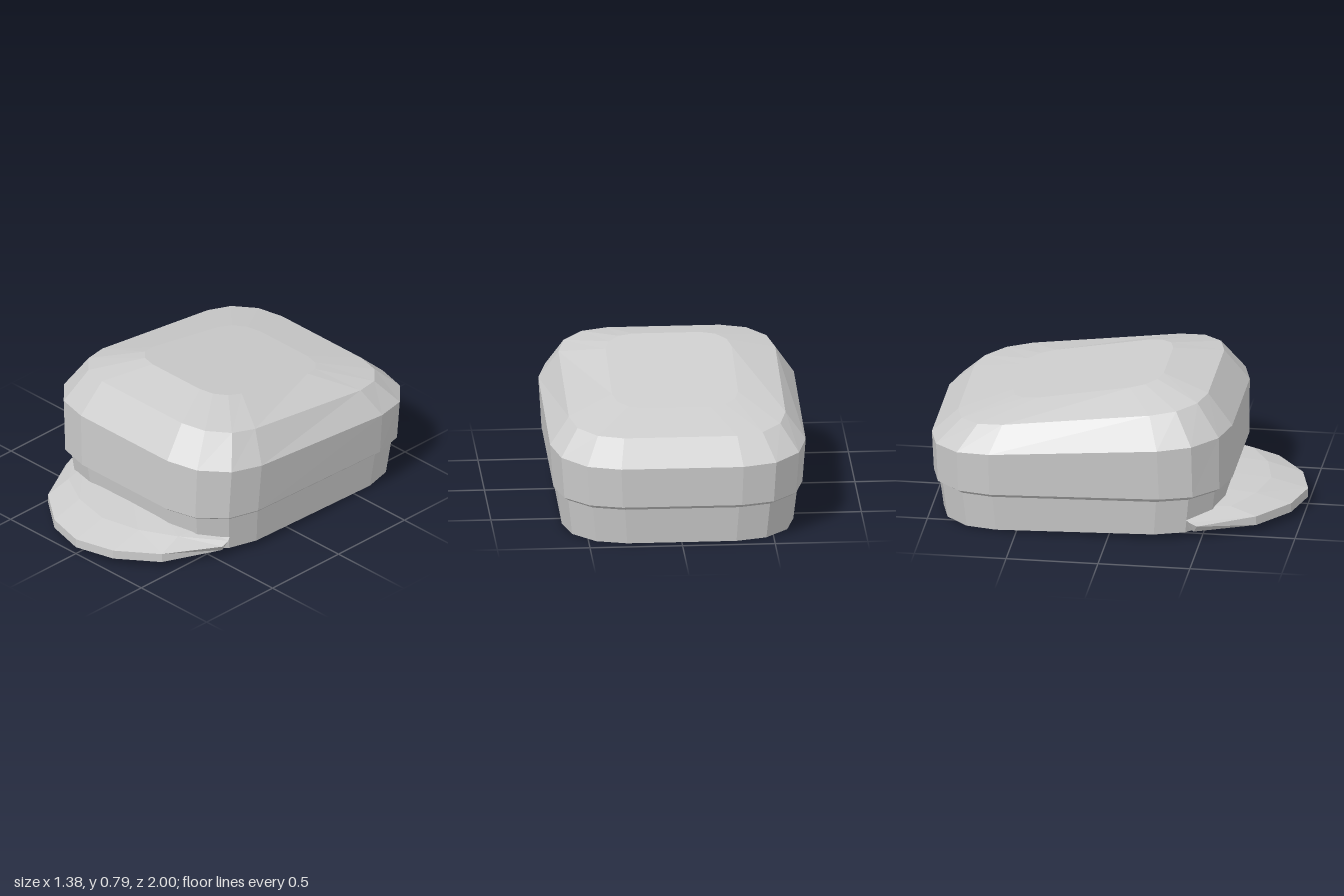
import * as THREE from 'three';

const grey = new THREE.MeshStandardMaterial({ color: 0xcccccc, flatShading: true });
grey.name = 'grey';

// Outline with rounded corners; height slopes from front to back
function ring([hx, zBack, zFront, r, yFront, yBack]) {
  const pts = [];
  const corners = [[1, 1], [1, 0], [0, 0], [0, 1]]; // [right side, front]
  corners.forEach(([px, pf], c) => {
    const cx = px ? hx - r : r - hx;
    const cz = pf ? zFront - r : zBack + r;
    for (let i = 0; i <= 3; i++) {
      const a = Math.PI / 2 - (c + i / 3) * Math.PI / 2;
      const z = cz + r * Math.sin(a);
      const y = yBack + (yFront - yBack) * (z - zBack) / (zFront - zBack);
      pts.push([cx + r * Math.cos(a), y, z]);
    }
  });
  return pts.reverse();
}

// Join closed cross-sections (clockwise seen from the last one) and cap both ends
function loft(name, rings) {
  const n = rings[0].length, index = [];
  rings.slice(1).forEach((_, k) => {
    for (let i = 0; i < n; i++) {
      const j = (i + 1) % n;
      const a = k * n + i, b = k * n + j, c = a + n, d = b + n;
      index.push(a, c, b, b, c, d);
    }
  });
  const top = (rings.length - 1) * n;
  for (let i = 1; i < n - 1; i++) {
    index.push(0, i, i + 1);
    index.push(top, top + i + 1, top + i);
  }
  const g = new THREE.BufferGeometry();
  g.setAttribute('position', new THREE.Float32BufferAttribute(rings.flat(2), 3));
  g.setIndex(index);
  const flat = g.toNonIndexed();
  flat.computeVertexNormals();
  const mesh = new THREE.Mesh(flat, grey);
  mesh.name = name;
  return mesh;
}

export function createModel() {
  const cap = new THREE.Group();
  cap.name = 'cap';

  // Band and crown: [half width, back z, front z, corner radius, front y, back y]
  const profile = [
    [0.625, -0.94, 0.58, 0.33, 0.04, 0],       // band bottom
    [0.648, -0.965, 0.605, 0.34, 0.24, 0.2],   // band top
    [0.672, -0.99, 0.635, 0.35, 0.265, 0.22],  // crown lip
    [0.69, -1, 0.635, 0.36, 0.57, 0.44],       // shoulder
    [0.585, -0.86, 0.5, 0.28, 0.74, 0.57],     // crown edge
    [0.34, -0.58, 0.24, 0.16, 0.79, 0.645],    // crown top
  ];
  cap.add(loft('bandAndCrown', profile.map(ring)));

  // Visor half sections: outer lower edge, outer upper edge, ridge, inner top, inner bottom
  const half = [
    [[0, 0.04, 1], [0, 0.09, 1], [0, 0.14, 0.8], [0, 0.16, 0.57], [0, 0.05, 0.55]],
    [[0.225, 0.04, 0.94], [0.225, 0.09, 0.94], [0.225, 0.14, 0.75], [0.225, 0.157, 0.57], [0.225, 0.05, 0.55]],
    [[0.435, 0.04, 0.78], [0.435, 0.09, 0.78], [0.42, 0.135, 0.64], [0.45, 0.142, 0.5], [0.45, 0.05, 0.48]],
    [[0.575, 0.04, 0.46], [0.6, 0.08, 0.48], [0.6, 0.1, 0.44], [0.59, 0.11, 0.42], [0.56, 0.05, 0.43]],
  ];
  const mirrored = half.slice(1).reverse().map(s => s.map(([x, y, z]) => [-x, y, z]));
  cap.add(loft('visor', [...mirrored, ...half]));
  return cap;
}
